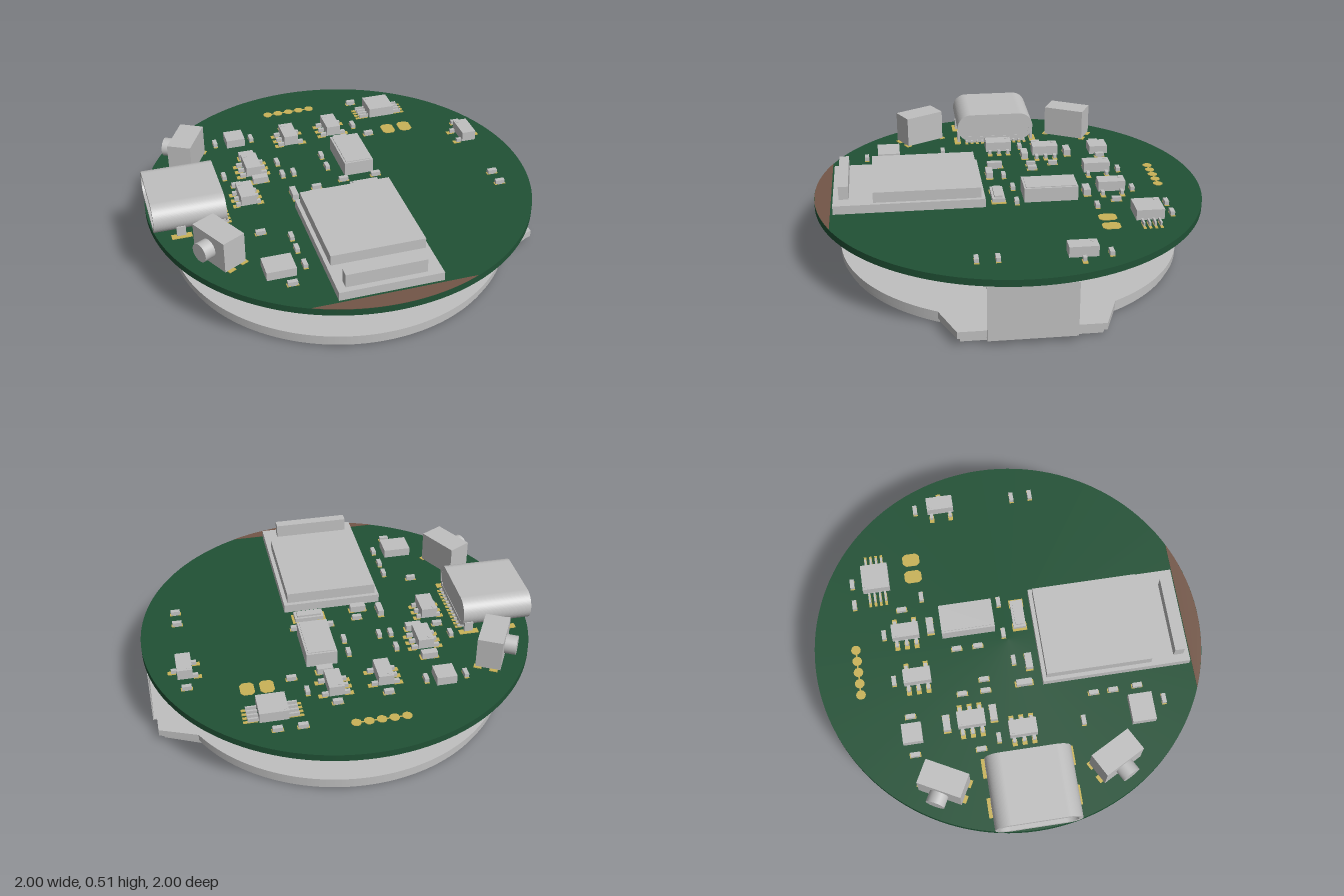
import * as THREE from 'three';

const mat = (name, color, side = THREE.FrontSide) => {
  const m = new THREE.MeshStandardMaterial({ color, side });
  m.name = name;
  return m;
};

export function createModel() {
  const root = new THREE.Group();
  root.name = 'roundDisplayBoard';
  const grey = mat('metal grey', 0xc0c0c0);
  const green = mat('board green', 0x205135);
  const gold = mat('pad gold', 0xc9b358);
  const brown = mat('bare board brown', 0x735647);
  const TOP = 0.345, BOTTOM = 0.31;

  const add = (name, geo, material, x = 0, y = 0, z = 0, parent = root) => {
    const m = new THREE.Mesh(geo, material);
    m.name = name;
    m.position.set(x, y, z);
    parent.add(m);
    return m;
  };
  // Box given by its centre in plan, its size in plan and its bottom and top
  const box = (name, material, x, z, w, d, y0, y1, parent = root) =>
    add(name, new THREE.BoxGeometry(w, y1 - y0, d), material, x, (y0 + y1) / 2, z, parent);
  const slab = (shape, height, curveSegments = 64) =>
    new THREE.ExtrudeGeometry(shape, { depth: height, bevelEnabled: false, curveSegments }).rotateX(-Math.PI / 2);

  // Circuit board
  add('board', new THREE.CylinderGeometry(1, 1, TOP - BOTTOM, 128), green, 0, (TOP + BOTTOM) / 2, 0);
  const a = Math.asin(0.915);
  const bare = new THREE.Shape();
  bare.absarc(0, 0, 0.999, -Math.PI + a, -a, false);
  add('antennaEdge', slab(bare, 0.002, 32), brown, 0, TOP, 0);

  // Display: stacked discs, the upper two with a connector tab towards +x
  const tabbed = (r, tip, half, tipHalf) => {
    const t = Math.asin(half / r);
    const s = new THREE.Shape();
    s.absarc(0, 0, r, t, Math.PI * 2 - t, false);
    s.lineTo(tip, -tipHalf);
    s.lineTo(tip, tipHalf);
    s.closePath();
    return s;
  };
  add('displayGlass', new THREE.CylinderGeometry(0.855, 0.85, 0.01, 128), grey, 0, 0.005, 0);
  add('displayPanel', slab(tabbed(0.865, 0.94, 0.41, 0.33), 0.03, 128), grey, 0, 0.01, 0);
  add('displayBacking', slab(tabbed(0.88, 0.965, 0.42, 0.345), 0.035, 128), grey, 0, 0.04, 0);

  // Flexible cable from the tab up to the underside of the board
  box('cableRise', grey, 0.983, 0, 0.005, 0.42, 0.03, BOTTOM);
  box('cableFoot', grey, 0.96, 0, 0.05, 0.42, 0.03, 0.035);
  box('cableEnd', grey, 0.88, 0, 0.21, 0.42, 0.304, 0.309);
  for (let i = 0; i < 18; i++) {
    box('cableContact', grey, 0.735, -0.2 + i * 0.0235, 0.08, 0.012, 0.304, BOTTOM);
  }
  for (const s of [-1, 1]) box('cableAnchor', grey, 0.77, s * 0.25, 0.12, 0.05, 0.304, BOTTOM);

  // Radio module
  box('moduleBase', grey, -0.015, 0.52, 0.51, 0.76, TOP, 0.39);
  box('moduleShield', grey, -0.015, 0.43, 0.47, 0.54, 0.39, 0.445);
  box('moduleAntenna', grey, -0.032, 0.845, 0.395, 0.05, 0.39, 0.46);

  // Socket: a rounded sleeve open towards -x, with a tongue inside
  const capsule = (C, half, r) => {
    const s = new C();
    s.absarc(half - r, 0, r, -Math.PI / 2, Math.PI / 2, false);
    s.absarc(-half + r, 0, r, Math.PI / 2, Math.PI * 1.5, false);
    s.closePath();
    return s;
  };
  const alongX = (shape, depth) =>
    new THREE.ExtrudeGeometry(shape, { depth, bevelEnabled: false, curveSegments: 20 }).rotateY(-Math.PI / 2);
  const sleeve = capsule(THREE.Shape, 0.215, 0.0775);
  sleeve.holes.push(capsule(THREE.Path, 0.195, 0.057));
  const sy = 0.4325;
  add('socketSleeve', alongX(sleeve, 0.36), grey, -0.63, sy, 0);
  add('socketBack', alongX(capsule(THREE.Shape, 0.196, 0.058), 0.1), grey, -0.632, sy, 0);
  box('socketTongue', grey, -0.84, 0, 0.24, 0.3, sy - 0.015, sy + 0.015);
  box('socketFoot', grey, -0.655, 0, 0.05, 0.34, TOP, 0.38);
  for (const s of [-1, 1]) {
    for (const x of [-0.86, -0.66]) {
      box('socketLegPad', gold, x, s * 0.215, 0.1, 0.035, TOP, TOP + 0.004);
      box('socketLeg', grey, x, s * 0.208, 0.045, 0.014, 0.303, 0.4);
      box('socketLegPadBelow', gold, x, s * 0.215, 0.08, 0.035, BOTTOM - 0.003, BOTTOM);
    }
  }
  for (let i = 0; i < 12; i++) {
    const z = -0.165 + i * 0.03;
    box('socketPinPad', gold, -0.62, z, 0.035, 0.016, TOP, TOP + 0.004);
    box('socketPin', grey, -0.625, z, 0.02, 0.01, TOP, 0.36);
  }

  // Two side push buttons, mirrored front to back
  for (const s of [-1, 1]) {
    const g = new THREE.Group();
    g.name = 'pushButton';
    g.position.set(-0.715, 0, s * 0.427);
    g.rotation.y = s * 0.49;
    root.add(g);
    box('buttonBody', grey, 0, 0, 0.125, 0.225, TOP + 0.003, 0.51, g);
    add('buttonPlunger', new THREE.CylinderGeometry(0.048, 0.048, 0.06, 32).rotateZ(Math.PI / 2), grey, -0.09, 0.432, 0, g);
    for (const k of [-1, 1]) {
      box('buttonPad', gold, -0.03, k * 0.11, 0.04, 0.04, TOP, TOP + 0.004, g);
      box('buttonPad', gold, 0.05, k * 0.11, 0.04, 0.03, TOP, TOP + 0.004, g);
    }
  }

  // Chips with leads: x, z, width, depth, left lead rows, right lead rows, lead pitch, reach
  const three = [-1, 0, 1], four = [-1.5, -0.5, 0.5, 1.5];
  const chips = [
    [-0.405, -0.25, 0.08, 0.14, three, three, 0.05, 0.045],
    [-0.49, 0, 0.08, 0.14, three, three, 0.05, 0.035],
    [-0.14, -0.49, 0.075, 0.14, three, [-1, 1], 0.05, 0.045],
    [0.11, -0.52, 0.075, 0.14, three, [-1, 1], 0.05, 0.045],
    [0.805, -0.25, 0.075, 0.14, [-1, 1], [0], 0.05, 0.04],
    [0.43, -0.64, 0.14, 0.14, four, four, 0.028, 0.07],
  ];
  for (const [x, z, w, d, left, right, pitch, reach] of chips) {
    box('chip', grey, x, z, w, d, 0.357, 0.41);
    add('chipMark', new THREE.CylinderGeometry(0.011, 0.011, 0.002, 16), grey, x - w / 2 + 0.018, 0.411, z - d / 2 + 0.022);
    [[-1, left], [1, right]].forEach(([s, rows]) => rows.forEach((r) => {
      const lx = x + s * (w / 2 + reach / 2), lz = z + r * pitch;
      box('chipPad', gold, lx + s * 0.004, lz, reach, pitch * 0.5, TOP, TOP + 0.004);
      box('chipLead', grey, lx - s * 0.008, lz, reach * 0.75, pitch * 0.34, TOP + 0.004, 0.368);
    }));
  }

  // Leadless packages: x, z, width, depth, top
  for (const [x, z, w, d, y] of [
    [-0.432, -0.552, 0.1, 0.1, 0.39], [-0.475, 0.61, 0.145, 0.12, 0.39],
    [0.132, -0.197, 0.155, 0.275, 0.42], [0.125, 0.07, 0.15, 0.065, 0.37],
  ]) box('package', grey, x, z, w, d, TOP, y);
  box('packageLid', grey, 0.132, -0.197, 0.135, 0.255, 0.42, 0.424);
  box('crystalLid', grey, 0.125, 0.07, 0.125, 0.042, 0.37, 0.38);
  for (const s of [-1, 1]) box('crystalPad', gold, 0.125 + s * 0.065, 0.07, 0.045, 0.075, TOP, TOP + 0.004);

  // Small passives lying along x or along z, and larger ones with showing pads
  const passive = (x, z, along, len, wid, h) => {
    const size = (l, w) => (along === 'x' ? [l, w] : [w, l]);
    box('passive', grey, x, z, ...size(len, wid), TOP, TOP + h);
    for (const s of [-1, 1]) {
      const o = s * len * 0.42;
      box('passivePad', gold, x + (along === 'x' ? o : 0), z + (along === 'z' ? o : 0),
        ...size(len * 0.36, wid * 1.08), TOP, TOP + 0.004);
    }
  };
  for (const [x, z] of [
    [0.305, -0.765], [0.425, -0.765], [-0.14, -0.61], [0.115, -0.632], [0.3, -0.415],
    [-0.515, -0.125], [0.035, -0.02], [0.21, -0.02], [-0.12, 0.01], [-0.49, 0.31],
    [-0.44, 0.73], [0.805, -0.385], [0.805, 0.14], [0.805, 0.24],
  ]) passive(x, z, 'x', 0.048, 0.022, 0.024);
  for (const [x, z] of [
    [-0.54, -0.55], [-0.34, -0.55], [0.242, -0.525], [-0.56, -0.22], [-0.26, -0.275],
    [-0.26, -0.155], [-0.2, -0.155], [-0.015, -0.27], [-0.015, -0.16],
    [-0.355, 0.385], [-0.355, 0.485], [-0.35, 0.61],
  ]) passive(x, z, 'z', 0.048, 0.022, 0.024);
  for (const [x, z] of [[0.13, -0.39], [-0.405, -0.375], [-0.385, -0.135], [-0.14, 0.085]]) {
    passive(x, z, 'x', 0.08, 0.036, 0.036);
  }
  passive(-0.25, 0.045, 'z', 0.08, 0.03, 0.036);

  // Row of round test points, joined by a thin trace
  for (let i = 0; i < 5; i++) {
    add('testPoint', new THREE.CylinderGeometry(0.025, 0.025, 0.003, 12), gold, -0.185 + i * 0.061, TOP + 0.0015, -0.785);
  }
  box('testTrace', gold, -0.063, -0.785, 0.244, 0.008, TOP, TOP + 0.002);

  // Battery pads with clipped corners, above and below the board
  const pad = new THREE.Shape([
    [-0.035, -0.028], [-0.02, -0.045], [0.02, -0.045], [0.035, -0.028],
    [0.035, 0.028], [0.02, 0.045], [-0.02, 0.045], [-0.035, 0.028],
  ].map(([x, y]) => new THREE.Vector2(x, y)));
  for (const x of [0.425, 0.522]) add('solderPad', slab(pad, 0.003), gold, x, TOP, -0.443);
  for (const x of [-0.21, -0.307]) add('solderPadBelow', slab(pad, 0.003), gold, x, BOTTOM - 0.003, -0.77);

  return root;
}
